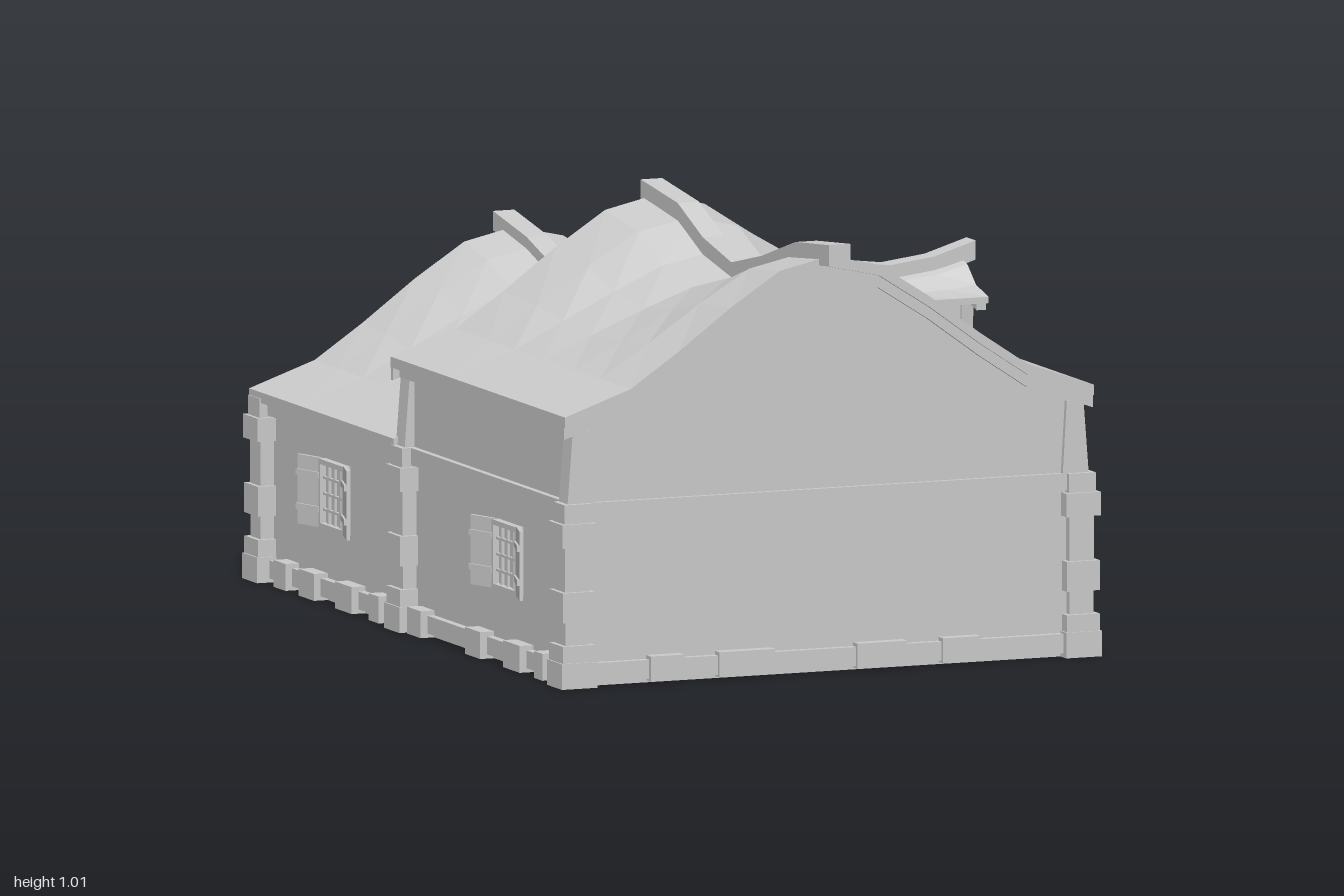
import * as THREE from 'three';

const mat = new THREE.MeshStandardMaterial({ color: 0xcccccc, flatShading: true, side: THREE.DoubleSide });

function add(parent, name, geo) {
  const mesh = new THREE.Mesh(geo, mat);
  mesh.name = name;
  parent.add(mesh);
  return mesh;
}

// Box given by its min and max corners
function block(parent, name, x0, x1, y0, y1, z0, z1) {
  const mesh = add(parent, name, new THREE.BoxGeometry(x1 - x0, y1 - y0, z1 - z0));
  mesh.position.set((x0 + x1) / 2, (y0 + y1) / 2, (z0 + z1) / 2);
  return mesh;
}

// Outline in x/y, extruded from z0 to z1
function slab(parent, name, pts, z0, z1) {
  const shape = new THREE.Shape(pts.map(p => new THREE.Vector2(...p)));
  const geo = new THREE.ExtrudeGeometry(shape, { depth: z1 - z0, bevelEnabled: false });
  return add(parent, name, geo.translate(0, 0, z0));
}

// Strip that hangs below a line of points
const strip = (pts, t) => [...pts, ...[...pts].reverse().map(([a, b]) => [a, b - t])];
const lower = (pts, d) => pts.map(([a, b]) => [a, b - d]);
const mirrorProfile = half => [...half.slice(1).reverse().map(([x, y]) => [-x, y]), ...half];

// Sagging roof: a cross-section swept along rows [z, sag]; sag fades towards the eaves
function roof(parent, name, profile, rows, fade, t) {
  const nu = profile.length - 1, ns = rows.length - 1;
  const geo = new THREE.BoxGeometry(1, 1, 1, nu, 1, ns);
  const p = geo.attributes.position;
  for (let k = 0; k < p.count; k++) {
    const i = Math.round((p.getX(k) + 0.5) * nu), j = Math.round((p.getZ(k) + 0.5) * ns);
    const [x, y] = profile[i], [z, sag] = rows[j];
    p.setXYZ(k, x, y - sag * fade[Math.abs(i - nu / 2)] - (p.getY(k) > 0 ? 0 : t), z);
  }
  geo.computeVertexNormals();
  return add(parent, name, geo);
}

// Beam following the ridge, points as [z, top]
function ridge(parent, name, pts, t, w) {
  const beam = slab(parent, name, strip(pts, t), -w / 2, w / 2);
  beam.rotation.y = -Math.PI / 2;
}

// Lattice of bars with a frame, centred on x = 0, facing +z
function lattice(g, w, y0, y1, nx, ny) {
  const f = 0.012, h = w / 2;
  block(g, 'pane', -h, h, y0, y1, -0.005, 0.003);
  for (const s of [-1, 1]) block(g, 'frameSide', s * h - f / 2, s * h + f / 2, y0, y1, 0, 0.018);
  for (const y of [y0, y1]) block(g, 'frameRail', -h - f / 2, h + f / 2, y - f / 2, y + f / 2, 0, 0.018);
  for (let i = 1; i < nx; i++) {
    const x = -h + w * i / nx;
    block(g, 'bar', x - 0.003, x + 0.003, y0, y1, 0, 0.01);
  }
  for (let i = 1; i < ny; i++) {
    const y = y0 + (y1 - y0) * i / ny;
    block(g, 'bar', -h, h, y - 0.003, y + 0.003, 0, 0.01);
  }
}

// Window with a pair of half-open shutters
function shutteredWindow(parent, x, z, turn) {
  const g = new THREE.Group();
  g.name = 'window';
  lattice(g, 0.14, 0.175, 0.325, 4, 4);
  for (const s of [-1, 1]) {
    const shutter = new THREE.Group();
    shutter.name = 'shutter';
    const a = s > 0 ? 0 : -0.08, b = a + 0.08;
    block(shutter, 'shutterBoard', a, b, 0.17, 0.333, 0, 0.009);
    for (const y of [0.205, 0.285]) block(shutter, 'shutterBatten', a, b, y, y + 0.014, 0.009, 0.014);
    shutter.position.set(s * 0.072, 0, 0.008);
    shutter.rotation.y = -s * 0.3;
    g.add(shutter);
  }
  g.position.set(x, 0, z);
  g.rotation.y = turn;
  parent.add(g);
}

function archShape(w, h) {
  const s = new THREE.Shape();
  s.moveTo(-w / 2, 0).lineTo(w / 2, 0).lineTo(w / 2, h - w * 0.4);
  s.bezierCurveTo(w / 2, h - w * 0.1, w * 0.3, h, 0, h);
  s.bezierCurveTo(-w * 0.3, h, -w / 2, h - w * 0.1, -w / 2, h - w * 0.4);
  return s;
}

function door(parent) {
  const g = new THREE.Group();
  g.name = 'door';
  const opts = depth => ({ depth, bevelEnabled: false, curveSegments: 5 });
  const frame = archShape(0.185, 0.32);
  frame.holes.push(archShape(0.15, 0.3));
  add(g, 'doorFrame', new THREE.ExtrudeGeometry(frame, opts(0.025)));
  add(g, 'doorLeaf', new THREE.ExtrudeGeometry(archShape(0.155, 0.302), opts(0.01)));
  block(g, 'handlePlate', 0.045, 0.071, 0.155, 0.17, 0.01, 0.018);
  add(g, 'handleRing', new THREE.TorusGeometry(0.01, 0.003, 4, 8)).position.set(0.058, 0.148, 0.018);
  g.position.set(0.63, 0, 0.182);
  g.rotation.y = Math.PI / 2;
  parent.add(g);
}

// Dormer, built facing +z and turned to the side
function dormer(parent) {
  const g = new THREE.Group();
  g.name = 'dormer';
  const profile = mirrorProfile([[0, 0.835], [0.05, 0.82], [0.1, 0.78], [0.175, 0.762]]);
  const rows = [[0.27, 0], [0.36, 0.02], [0.46, 0.034], [0.57, 0.02], [0.645, 0]];
  roof(g, 'dormerRoof', profile, rows, [1, 0.9, 0.4, 0], 0.015);
  ridge(g, 'dormerRidge', [[0.25, 0.872], [0.36, 0.838], [0.46, 0.826], [0.57, 0.84], [0.675, 0.872]], 0.045, 0.054);
  const gable = lower(profile.slice(1, -1), 0.012);
  slab(g, 'dormerFront', [[-0.1, 0.62], ...gable, [0.1, 0.62]], 0.6, 0.615);
  slab(g, 'dormerBargeboard', strip(lower(profile, 0.014), 0.016), 0.615, 0.638);
  for (const s of [-1, 1]) {
    block(g, 'dormerCheek', s * 0.095 - 0.008, s * 0.095 + 0.008, 0.6, 0.765, 0.35, 0.61);
    block(g, 'dormerCheekBeam', s * 0.1 - 0.012, s * 0.1 + 0.012, 0.745, 0.762, 0.35, 0.63);
    slab(g, 'dormerPost', [[s * 0.075, 0.64], [s * 0.118, 0.64], [s * 0.105, 0.68], [s * 0.112, 0.765], [s * 0.075, 0.765]], 0.605, 0.635);
  }
  block(g, 'dormerSill', -0.12, 0.12, 0.625, 0.645, 0.6, 0.645);
  const win = new THREE.Group();
  win.name = 'dormerWindow';
  lattice(win, 0.09, 0.68, 0.785, 3, 4);
  win.position.z = 0.615;
  g.add(win);
  g.position.z = 0.185;
  g.rotation.y = Math.PI / 2;
  parent.add(g);
}

export function createModel() {
  const house = new THREE.Group();
  house.name = 'house';
  const W = 0.63, drop = 0.19;
  const profile = mirrorProfile([[0, 0.975], [0.125, 0.947], [0.25, 0.867], [0.38, 0.772], [0.5, 0.692], [0.665, 0.635]]);
  const backProfile = lower(profile, drop);
  const fade = [1, 0.95, 0.65, 0.28, 0.03, 0];

  // Roofs and ridge beams
  roof(house, 'frontRoof', profile, [[-0.1, 0], [0.1, 0.025], [0.25, 0.085], [0.42, 0.115], [0.6, 0.075], [0.76, 0.02], [0.94, 0]], fade, 0.025);
  roof(house, 'backRoof', backProfile, [[-0.94, 0], [-0.8, 0.025], [-0.65, 0.07], [-0.51, 0.1], [-0.36, 0.07], [-0.2, 0.02], [-0.08, 0]], fade, 0.025);
  ridge(house, 'frontRidge', [[-0.12, 1.01], [0.1, 0.985], [0.25, 0.925], [0.42, 0.89], [0.6, 0.93], [0.8, 0.99], [1, 1.01]], 0.05, 0.054);
  ridge(house, 'backRidge', [[-1, 0.815], [-0.8, 0.782], [-0.65, 0.738], [-0.51, 0.712], [-0.36, 0.74], [-0.2, 0.79], [-0.08, 0.807]], 0.045, 0.054);

  // Gable walls, the middle one only above the back roof line
  const gable = (p, base) => [[-W, base], [-W, p[0][1] - 0.01], ...lower(p.slice(1, -1), 0.02), [W, p[0][1] - 0.01], [W, base]];
  slab(house, 'frontWall', gable(profile, 0), 0.905, 0.92);
  slab(house, 'middleGable', gable(profile, 0.4), -0.085, -0.07);
  slab(house, 'backWall', gable(backProfile, 0), -0.92, -0.905);
  const trim = p => strip(lower(p, 0.022), 0.032);
  slab(house, 'frontBargeboard', trim(profile), 0.92, 0.933);
  slab(house, 'middleBargeboard', trim(profile), -0.097, -0.085);
  slab(house, 'backBargeboard', trim(backProfile), -0.933, -0.92);

  // Cross beams on the gable ends
  block(house, 'frontBeam', -0.64, 0.64, 0.39, 0.43, 0.91, 0.932);
  block(house, 'backBeam', -0.64, 0.64, 0.39, 0.43, -0.932, -0.91);

  // [bottom, top, half width] of each corner stone
  const quoins = [[0, 0.06, 0.045], [0.06, 0.1, 0.041], [0.1, 0.155, 0.03], [0.155, 0.225, 0.041], [0.225, 0.33, 0.031], [0.33, 0.385, 0.043], [0.385, 0.43, 0.034]];
  // [centre, length] of the raised foundation stones
  const sideStones = [[0.78, 0.05], [0.62, 0.1], [0.39, 0.09], [0.04, 0.08], [-0.2, 0.06], [-0.38, 0.1], [-0.6, 0.09], [-0.76, 0.07]];
  const endStones = [[-0.41, 0.085], [-0.21, 0.14], [0.13, 0.125], [0.33, 0.095]];

  for (const s of [-1, 1]) {
    const side = (name, a, b, ...rest) => block(house, name, Math.min(s * a, s * b), Math.max(s * a, s * b), ...rest);
    // Side walls and beams
    side('sideWallFront', 0.615, W, 0, 0.61, -0.08, 0.915);
    side('sideWallBack', 0.615, W, 0, 0.43, -0.915, -0.08);
    side('sideBeam', 0.62, 0.645, 0.39, 0.43, -0.09, 0.932);
    side('eaveBeamFront', 0.62, 0.648, 0.588, 0.615, -0.09, 0.925);
    side('eaveBeamBack', 0.62, 0.648, 0.39, 0.425, -0.925, -0.09);
    // Tapered upper posts
    for (const z of [0.88, -0.09]) {
      slab(house, 'upperPost', [[s * 0.59, 0.43], [s * 0.655, 0.43], [s * 0.642, 0.6], [s * 0.6, 0.6]], z, z + 0.052);
    }
    for (const z of [0.91, -0.058, -0.905]) {
      for (const [y0, y1, r] of quoins) side('cornerStone', 0.634 - r, 0.634 + r, y0, y1, z - r, z + r);
    }
    // Foundation
    side('sidePlinth', 0.61, 0.648, 0.01, 0.052, -0.93, 0.93);
    for (const [z, l] of sideStones) side('plinthStone', 0.61, 0.665, 0, 0.063, z - l / 2, z + l / 2);
    block(house, 'endPlinth', -0.63, 0.63, 0.01, 0.055, s * 0.92 - 0.018, s * 0.92 + 0.018);
    for (const [x, l] of endStones) block(house, 'plinthStone', s * x - l / 2 * 1, s * x + l / 2, 0.005, 0.064, s * 0.92 - 0.028, s * 0.92 + 0.028);
    // Windows
    shutteredWindow(house, s * W, 0.535, s * Math.PI / 2);
    shutteredWindow(house, s * W, -0.495, s * Math.PI / 2);
    shutteredWindow(house, s * 0.28, -0.92, Math.PI);
  }

  door(house);
  dormer(house);
  return house;
}
